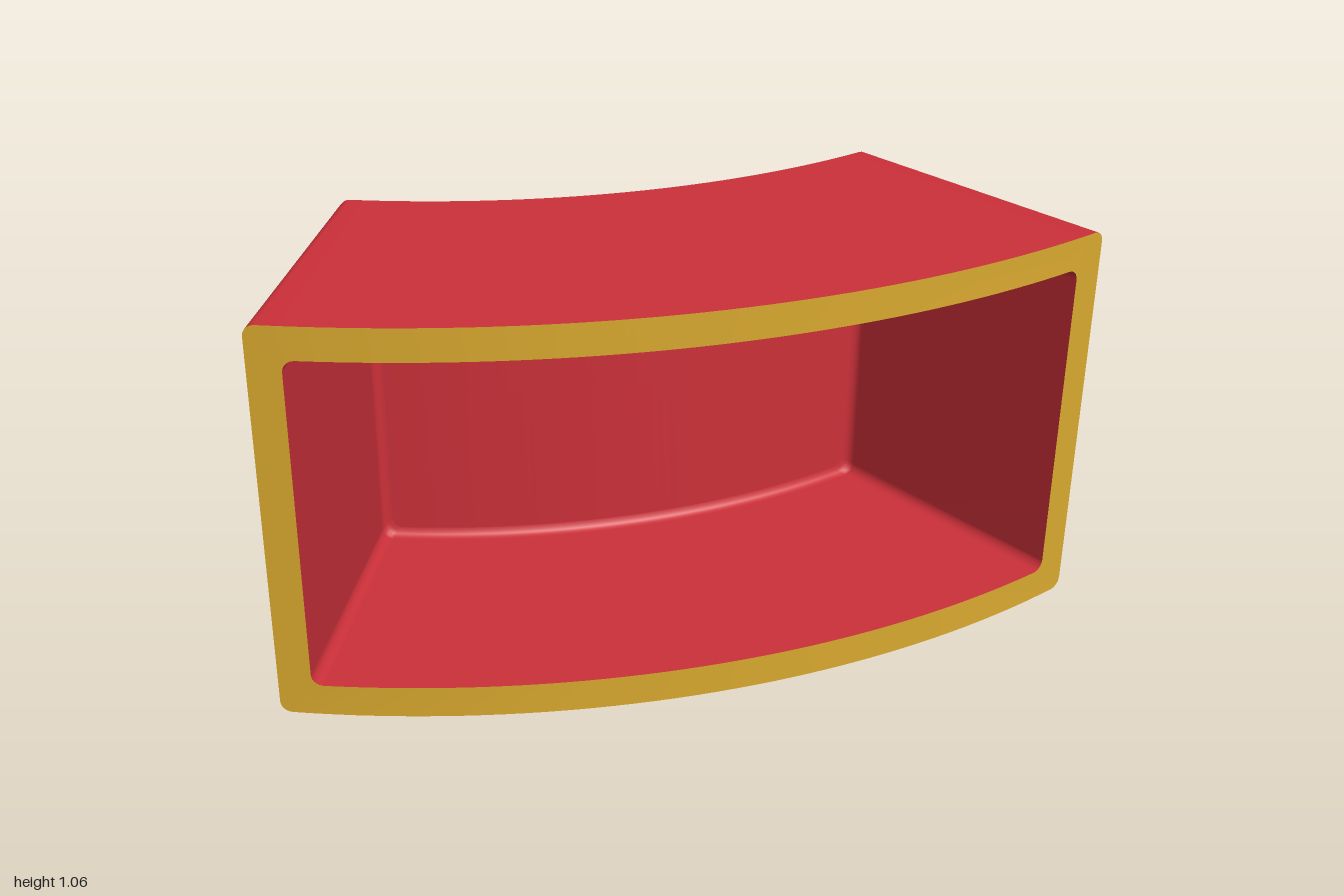
import * as THREE from 'three';

// Curved box between two arcs: the arc centre lies behind the model.
const CX = 0.93, CZ = -2.04, H = 1.056;
const FRONT = 2.73, BACK = 1.905, WALL = 0.085;
const LEFT_END = -Math.PI / 4, RIGHT_END = 0.0256;
const ARC_STEPS = 40, CORNER_STEPS = 5;

// Rounded rectangle wrapped on a cylinder of radius r, inset from the outer walls.
function ring(r, inset, corner, flatten = false) {
  const a0 = LEFT_END + Math.asin(inset / r);
  const a1 = RIGHT_END - Math.asin(inset / r);
  const w = r * (a1 - a0), y0 = inset, y1 = H - inset;
  const flat = [];
  const addCorner = (cx, cy, start) => {
    for (let i = 0; i <= CORNER_STEPS; i++) {
      const a = start + (i / CORNER_STEPS) * Math.PI / 2;
      flat.push([cx + corner * Math.cos(a), cy + corner * Math.sin(a)]);
    }
  };
  const addEdge = (from, to, y) => {
    for (let i = 1; i < ARC_STEPS; i++) flat.push([from + (to - from) * i / ARC_STEPS, y]);
  };
  addCorner(w - corner, y1 - corner, 0);
  addEdge(w - corner, corner, y1);
  addCorner(corner, y1 - corner, Math.PI / 2);
  addCorner(corner, y0 + corner, Math.PI);
  addEdge(corner, w - corner, y0);
  addCorner(w - corner, y0 + corner, Math.PI * 1.5);
  return flat.map(([s, y]) => {
    const a = a0 + s / r;
    return [CX + r * Math.sin(a), flatten ? H / 2 : y, CZ + r * Math.cos(a)];
  });
}

// Skin a series of matching closed rings.
function loft(rings) {
  const n = rings[0].length, index = [];
  for (let k = 0; k < rings.length - 1; k++) {
    for (let i = 0; i < n; i++) {
      const j = (i + 1) % n;
      const a = k * n + i, b = k * n + j, c = a + n, d = b + n;
      index.push(a, c, b, b, c, d);
    }
  }
  const geo = new THREE.BufferGeometry();
  geo.setAttribute('position', new THREE.Float32BufferAttribute(rings.flat(2), 3));
  geo.setIndex(index);
  geo.computeVertexNormals();
  return geo;
}

export function createModel() {
  const red = new THREE.MeshStandardMaterial({ color: 0xcc3039, side: THREE.DoubleSide });
  red.name = 'red';
  const yellow = new THREE.MeshStandardMaterial({ color: 0xd9a92f, side: THREE.DoubleSide });
  yellow.name = 'yellow';

  const model = new THREE.Group();
  model.name = 'curvedShelfBox';
  const add = (name, rings, material) => {
    const mesh = new THREE.Mesh(loft(rings), material);
    mesh.name = name;
    model.add(mesh);
  };

  // Thin outer sleeve, open at the back
  add('outerShell', [ring(FRONT, 0, 0.03), ring(BACK, 0, 0.03)], red);

  // Band joining the sleeve to the inner tray
  add('frontRim', [ring(FRONT, WALL, 0.03), ring(FRONT, 0, 0.03)], yellow);

  // Inner tray walls, with an eased edge into the curved back panel
  const floor = BACK + 0.08, ease = 0.025;
  const easing = [0, 1, 2, 3, 4].map((i) => {
    const a = (i / 4) * Math.PI / 2;
    return ring(floor + ease * (1 - Math.sin(a)), WALL + ease * (1 - Math.cos(a)), 0.03);
  });
  add('innerTray', [ring(FRONT, WALL, 0.03), ...easing], red);
  add('backPanel', [ring(floor, WALL + ease, 0.03), ring(floor, WALL + ease, 0.03, true)], red);

  return model;
}
